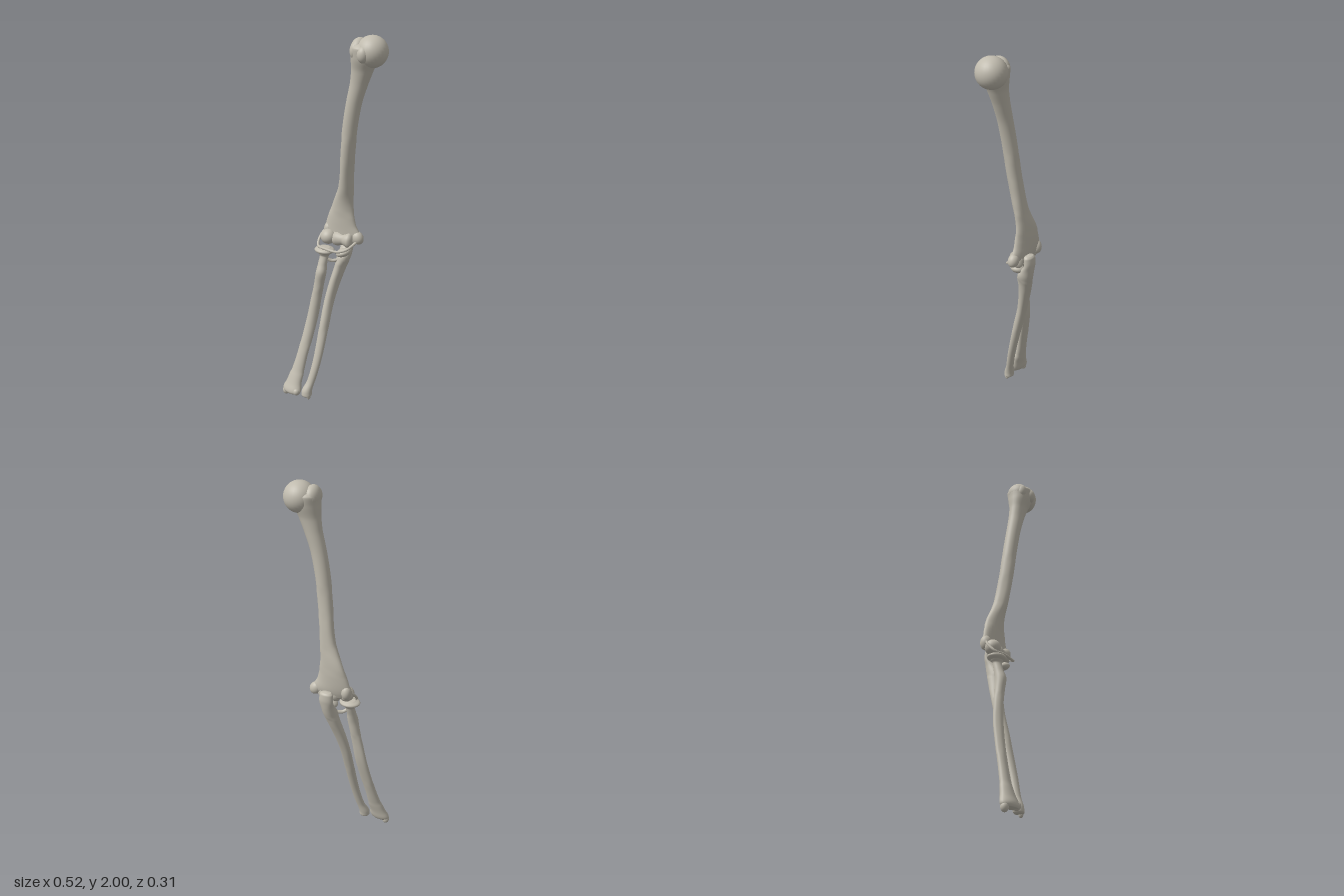
import * as THREE from 'three';

const bone = new THREE.MeshStandardMaterial({ color: 0xc0bbae });
bone.name = 'bone';

// Smooth closed shaft through rows of [x, y, z, radiusX, radiusZ, twist, triangularity], listed top to bottom
function loft(name, rows, steps = 6, sides = 28) {
  const centre = new THREE.CatmullRomCurve3(rows.map(r => new THREE.Vector3(r[0], r[1], r[2])));
  const size = new THREE.CatmullRomCurve3(rows.map(r => new THREE.Vector3(r[3], r[4], r[5] || 0)));
  const n = (rows.length - 1) * steps;
  const pos = [], index = [];
  for (let i = 0; i <= n; i++) {
    const c = centre.getPoint(i / n), s = size.getPoint(i / n);
    const tri = rows[Math.min(rows.length - 1, Math.round(i / steps))][6] || 0;
    const end = i === 0 || i === n ? 0.02 : 1;
    for (let j = 0; j < sides; j++) {
      const a = j / sides * Math.PI * 2;
      const k = (1 + tri * Math.cos(3 * a + 1.57)) * end;
      const x = Math.max(s.x, 0.002) * k * Math.cos(a), z = Math.max(s.y, 0.002) * k * Math.sin(a);
      pos.push(c.x + x * Math.cos(s.z) - z * Math.sin(s.z), c.y, c.z + x * Math.sin(s.z) + z * Math.cos(s.z));
      if (i < n) {
        const b = i * sides + (j + 1) % sides, p = i * sides + j;
        index.push(p, b, p + sides, b, b + sides, p + sides);
      }
    }
  }
  const g = new THREE.BufferGeometry();
  g.setAttribute('position', new THREE.Float32BufferAttribute(pos, 3));
  g.setIndex(index);
  g.computeVertexNormals();
  return mesh(name, g);
}

function mesh(name, geometry) {
  const m = new THREE.Mesh(geometry, bone);
  m.name = name;
  return m;
}

// Rounded knob
function knob(name, [x, y, z], [rx, ry, rz], tilt = 0) {
  const m = mesh(name, new THREE.SphereGeometry(1, 28, 20));
  m.position.set(x, y, z);
  m.scale.set(rx, ry, rz);
  m.rotation.z = tilt;
  return m;
}

// Thin cord through points
function cord(name, points, radius, closed = false) {
  const path = new THREE.CatmullRomCurve3(points.map(p => new THREE.Vector3(...p)), closed);
  return mesh(name, new THREE.TubeGeometry(path, 40, radius, 8, closed));
}

function upperArm() {
  const g = new THREE.Group();
  g.name = 'upperArmBone';
  g.add(loft('upperArmShaft', [
    [0.14, 1.965, -0.03, 0.035, 0.04],
    [0.14, 1.94, -0.03, 0.062, 0.07],
    [0.145, 1.89, -0.03, 0.068, 0.065],
    [0.132, 1.83, -0.033, 0.056, 0.048],
    [0.113, 1.76, -0.036, 0.046, 0.041],
    [0.085, 1.66, -0.038, 0.04, 0.038],
    [0.06, 1.53, -0.044, 0.038, 0.038],
    [0.043, 1.395, -0.052, 0.037, 0.038, 0, 0.05],
    [0.03, 1.28, -0.065, 0.036, 0.038, 0, 0.08],
    [0.018, 1.19, -0.076, 0.041, 0.036, 0, 0.08],
    [-0.005, 1.09, -0.09, 0.062, 0.032, 0.1, 0.05],
    [-0.013, 0.99, -0.092, 0.088, 0.03, 0.05],
    [-0.004, 0.935, -0.09, 0.103, 0.028],
    [0, 0.905, -0.085, 0.09, 0.026],
    [0, 0.89, -0.085, 0.06, 0.018],
  ]));
  // Ball and bumps of the shoulder end
  g.add(knob('shoulderBall', [0.181, 1.922, -0.038], [0.078, 0.078, 0.079]));
  g.add(knob('greaterTubercle', [0.117, 1.93, -0.03], [0.04, 0.055, 0.058]));
  g.add(knob('lesserTubercle', [0.163, 1.915, 0.022], [0.03, 0.04, 0.031]));
  g.add(knob('frontTubercle', [0.112, 1.925, 0.002], [0.028, 0.042, 0.03]));
  // Elbow end
  g.add(knob('outerCondyle', [-0.074, 0.912, -0.062], [0.041, 0.04, 0.042]));
  g.add(knob('outerEpicondyle', [-0.088, 0.94, -0.095], [0.027, 0.04, 0.03]));
  g.add(knob('innerEpicondyle', [0.085, 0.925, -0.09], [0.031, 0.036, 0.028], 0.5));
  const spool = mesh('trochlea', new THREE.LatheGeometry(
    [[0.001, -0.055], [0.03, -0.053], [0.045, -0.035], [0.034, -0.01], [0.031, 0.005], [0.04, 0.03], [0.038, 0.05], [0.02, 0.058], [0.001, 0.059]]
      .map(p => new THREE.Vector2(...p)), 32));
  spool.rotation.z = Math.PI / 2;
  spool.position.set(0.012, 0.908, -0.075);
  g.add(spool);
  return g;
}

function ulna() {
  const g = new THREE.Group();
  g.name = 'ulna';
  g.add(loft('ulnaShaft', [
    [0.008, 0.94, -0.128, 0.022, 0.014],
    [0.008, 0.925, -0.13, 0.036, 0.023],
    [0.008, 0.885, -0.133, 0.037, 0.022],
    [0.006, 0.845, -0.117, 0.035, 0.033],
    [0, 0.8, -0.097, 0.036, 0.043],
    [-0.016, 0.74, -0.083, 0.031, 0.038, 0, 0.06],
    [-0.038, 0.65, -0.058, 0.029, 0.031, 0, 0.08],
    [-0.055, 0.55, -0.03, 0.027, 0.026, 0, 0.08],
    [-0.062, 0.44, 0.002, 0.026, 0.025, 0, 0.06],
    [-0.068, 0.33, 0.032, 0.025, 0.022],
    [-0.079, 0.21, 0.065, 0.023, 0.02],
    [-0.097, 0.11, 0.092, 0.022, 0.02],
    [-0.113, 0.055, 0.11, 0.028, 0.027],
    [-0.114, 0.03, 0.114, 0.029, 0.027],
    [-0.114, 0.018, 0.115, 0.02, 0.018],
  ]));
  // Beak in front of the elbow and the pointed tip at the wrist
  g.add(knob('coronoidProcess', [0.015, 0.838, -0.06], [0.04, 0.022, 0.038], 0.35));
  g.add(knob('ulnaTip', [-0.1, 0.022, 0.117], [0.011, 0.018, 0.012]));
  return g;
}

function radius() {
  const g = new THREE.Group();
  g.name = 'radius';
  g.add(loft('radiusShaft', [
    [-0.081, 0.862, -0.033, 0.025, 0.022],
    [-0.081, 0.858, -0.033, 0.035, 0.031],
    [-0.081, 0.83, -0.032, 0.035, 0.031],
    [-0.081, 0.812, -0.03, 0.024, 0.023],
    [-0.085, 0.77, -0.018, 0.024, 0.025],
    [-0.087, 0.725, -0.006, 0.028, 0.03],
    [-0.098, 0.66, -0.004, 0.027, 0.026],
    [-0.113, 0.58, 0.001, 0.029, 0.022, 0, 0.06],
    [-0.13, 0.47, 0.012, 0.031, 0.022, 0, 0.08],
    [-0.149, 0.35, 0.036, 0.031, 0.021, 0, 0.06],
    [-0.168, 0.24, 0.063, 0.031, 0.022],
    [-0.183, 0.15, 0.087, 0.036, 0.024],
    [-0.196, 0.085, 0.108, 0.047, 0.029, 0.15],
    [-0.202, 0.04, 0.122, 0.058, 0.032, 0.2],
    [-0.202, 0.024, 0.124, 0.048, 0.024, 0.2],
  ]));
  // Wrist end ridges
  g.add(knob('radiusTip', [-0.241, 0.025, 0.118], [0.019, 0.025, 0.02]));
  g.add(knob('radiusRidge', [-0.166, 0.042, 0.134], [0.02, 0.022, 0.022]));
  return g;
}

function ligaments() {
  const g = new THREE.Group();
  g.name = 'ligaments';
  // Band across the front of the elbow
  const band = cord('frontBand', [
    [-0.1, 0.945, -0.085], [-0.119, 0.91, -0.06], [-0.112, 0.868, -0.02], [-0.06, 0.865, -0.002],
    [0.01, 0.862, -0.002], [0.055, 0.876, -0.022], [0.085, 0.905, -0.07],
  ], 0.007);
  g.add(band);
  // Ring round the radius head
  const ring = [];
  for (let i = 0; i < 12; i++) {
    const a = i / 12 * Math.PI * 2;
    ring.push([-0.079 + 0.036 * Math.cos(a), 0.848, -0.033 + 0.033 * Math.sin(a)]);
  }
  g.add(cord('ringBand', ring, 0.007, true));
  // Short tie between the two forearm bones
  g.add(cord('forearmTie', [[-0.07, 0.8, -0.03], [-0.045, 0.785, -0.045], [-0.01, 0.79, -0.07]], 0.009));
  return g;
}

export function createModel() {
  const model = new THREE.Group();
  model.name = 'armBones';
  model.add(upperArm(), ulna(), radius(), ligaments());
  return model;
}
